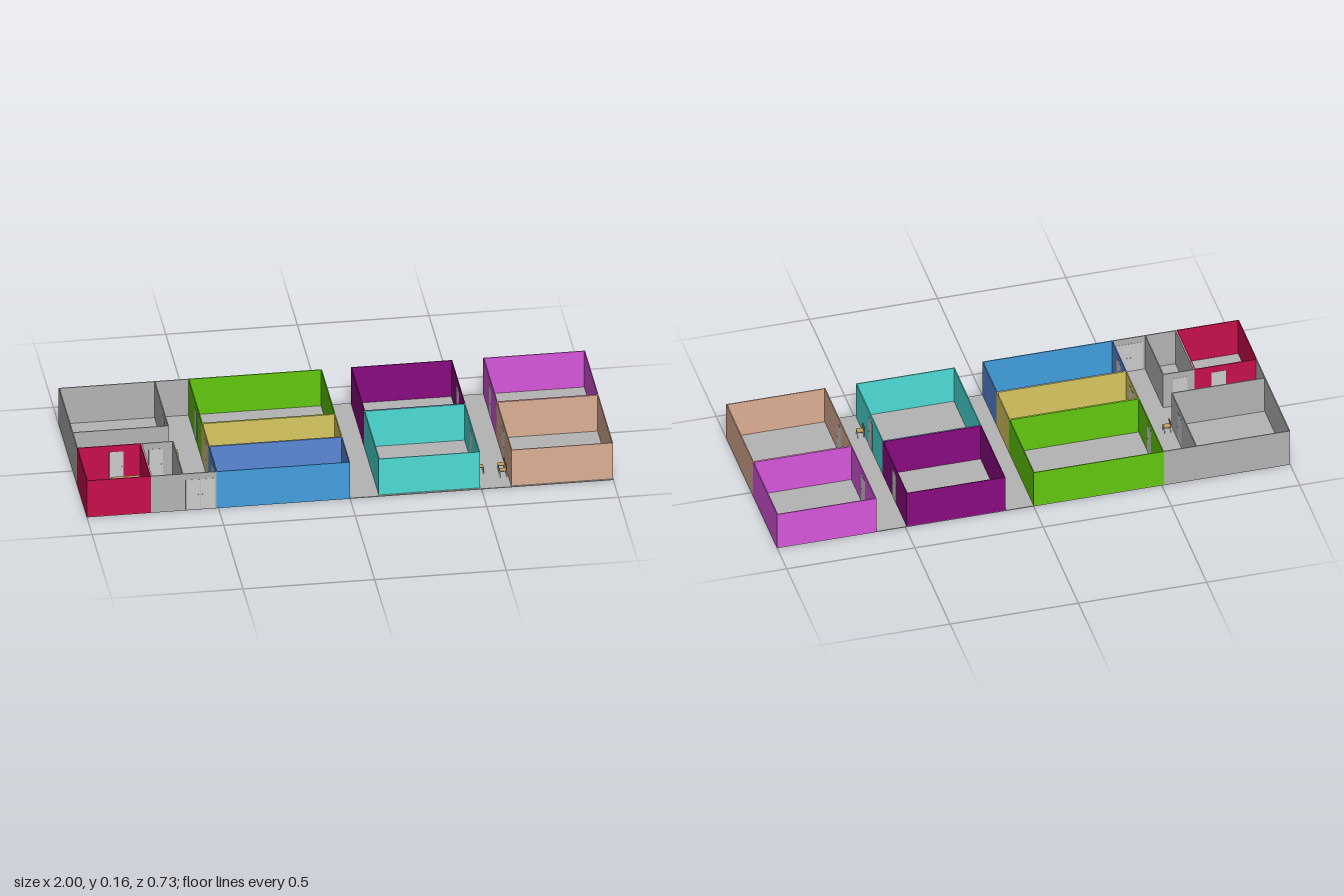
import * as THREE from 'three';

const H = 0.157; // wall height
const T = 0.004; // wall thickness
const FLOOR = 0.003;

const material = (color) => new THREE.MeshStandardMaterial({ color });
const grey = material(0xcccccc);
const wallGrey = material(0xb4b4b4);
const wood = material(0xc8a060);

// Box given by its min and max corners
function box(parent, name, mat, x0, x1, y0, y1, z0, z1) {
  const mesh = new THREE.Mesh(new THREE.BoxGeometry(x1 - x0, y1 - y0, z1 - z0), mat);
  mesh.position.set((x0 + x1) / 2, (y0 + y1) / 2, (z0 + z1) / 2);
  mesh.name = name;
  parent.add(mesh);
  return mesh;
}

// Four thin walls around a rectangle, open on top
function room(name, mat, x0, x1, z0, z1, frontMat = mat) {
  const g = new THREE.Group();
  g.name = name;
  box(g, 'backWall', mat, x0, x1, 0, H, z0, z0 + T);
  box(g, 'frontWall', frontMat, x0, x1, 0, H, z1 - T, z1);
  box(g, 'rightWall', mat, x0, x0 + T, 0, H, z0 + T, z1 - T);
  box(g, 'leftWall', mat, x1 - T, x1, 0, H, z0 + T, z1 - T);
  return g;
}

// Door panel visible on both sides of a wall, with a knob on each side
function door(x, z, angle = 0, width = 0.055) {
  const g = new THREE.Group();
  g.name = 'door';
  box(g, 'doorPanel', grey, -T / 2 - 0.0006, T / 2 + 0.0006, FLOOR, 0.13, -width / 2, width / 2);
  for (const side of [-1, 1]) {
    const knob = new THREE.Mesh(new THREE.SphereGeometry(0.002, 8, 6), grey);
    knob.name = 'doorKnob';
    knob.position.set(side * (T / 2 + 0.0015), 0.065, width * 0.38);
    g.add(knob);
  }
  g.position.set(x, 0, z);
  g.rotation.y = angle;
  return g;
}

// Four square legs below a rectangular top
function legs(g, w, d, top, t, mat) {
  for (const sx of [-1, 1]) {
    for (const sz of [-1, 1]) {
      const x = sx * (w - t) / 2, z = sz * (d - t) / 2;
      box(g, 'leg', mat, x - t / 2, x + t / 2, FLOOR, top, z - t / 2, z + t / 2);
    }
  }
}

// Chair whose backrest is on its -x side
function chair(x, z, angle = 0) {
  const g = new THREE.Group();
  g.name = 'chair';
  const s = 0.026;
  legs(g, s, s, 0.026, 0.002, grey);
  box(g, 'seat', wood, -s / 2, s / 2, 0.026, 0.029, -s / 2, s / 2);
  for (const sz of [-1, 1]) {
    const z0 = sz * 0.011;
    box(g, 'backPost', grey, -s / 2, -s / 2 + 0.002, 0.029, 0.04, z0 - 0.001, z0 + 0.001);
  }
  box(g, 'backrest', wood, -s / 2, -s / 2 + 0.003, 0.038, 0.052, -s / 2, s / 2);
  g.position.set(x, 0, z);
  g.rotation.y = angle;
  return g;
}

function desk(x, z) {
  const g = new THREE.Group();
  g.name = 'desk';
  legs(g, 0.106, 0.036, 0.043, 0.003, grey);
  box(g, 'deskTop', wood, -0.055, 0.055, 0.043, 0.047, -0.02, 0.02);
  g.position.set(x, 0, z);
  return g;
}

export function createModel() {
  const model = new THREE.Group();
  model.name = 'floorPlan';
  box(model, 'floor', wallGrey, -1, 1, 0, FLOOR, -0.365, 0.365);

  // Rooms
  model.add(
    room('greyRoom', wallGrey, -1, -0.633, -0.365, -0.013),
    room('redRoom', material(0xc80f4c), -1, -0.756, 0.105, 0.365),
    room('smallGreyRoom', wallGrey, -0.756, -0.633, 0.105, 0.365),
    room('greenRoom', material(0x62c80e), -0.508, 0, -0.365, -0.015),
    room('yellowRoom', material(0xd8c860), -0.508, 0, -0.015, 0.165),
    room('blueRoom', material(0x5a88d8), -0.508, 0, 0.165, 0.365, material(0x429fde)),
    room('purpleRoom', material(0x8a0a80), 0.11, 0.495, -0.365, -0.022),
    room('tealRoom', material(0x4dddd8), 0.11, 0.495, -0.022, 0.357),
    room('magentaRoom', material(0xd857dc), 0.613, 1, -0.365, -0.019),
    room('tanRoom', material(0xdeaf94), 0.613, 1, -0.019, 0.36),
  );

  // Walls closing the grey hallway
  box(model, 'hallBackWall', wallGrey, -0.633, -0.508, 0, H, -0.365, -0.365 + T);
  box(model, 'hallFrontWall', wallGrey, -0.633, -0.508, 0, H, 0.365 - T, 0.365);
  box(model, 'hallSideWall', wallGrey, -1, -1 + T, 0, H, -0.013, 0.105);

  // Doors: [wall x, z]
  const doors = [
    [-0.635, -0.13], [-0.506, -0.17], [-0.506, 0.08], [-0.506, 0.265],
    [0.493, -0.19], [0.493, 0.15], [0.615, -0.19], [0.615, 0.15],
  ];
  for (const [x, z] of doors) model.add(door(x, z));
  model.add(door(-0.85, 0.107, Math.PI / 2), door(-0.7, 0.107, Math.PI / 2));
  // Double entrance door at the front of the hallway
  model.add(door(-0.597, 0.363, Math.PI / 2), door(-0.541, 0.363, -Math.PI / 2));

  // Furniture
  model.add(
    desk(-0.823, 0.172),
    chair(-0.608, -0.042),
    chair(0.512, 0.235),
    chair(0.594, 0.23, Math.PI),
    chair(0.594, 0.275, Math.PI),
  );
  return model;
}
